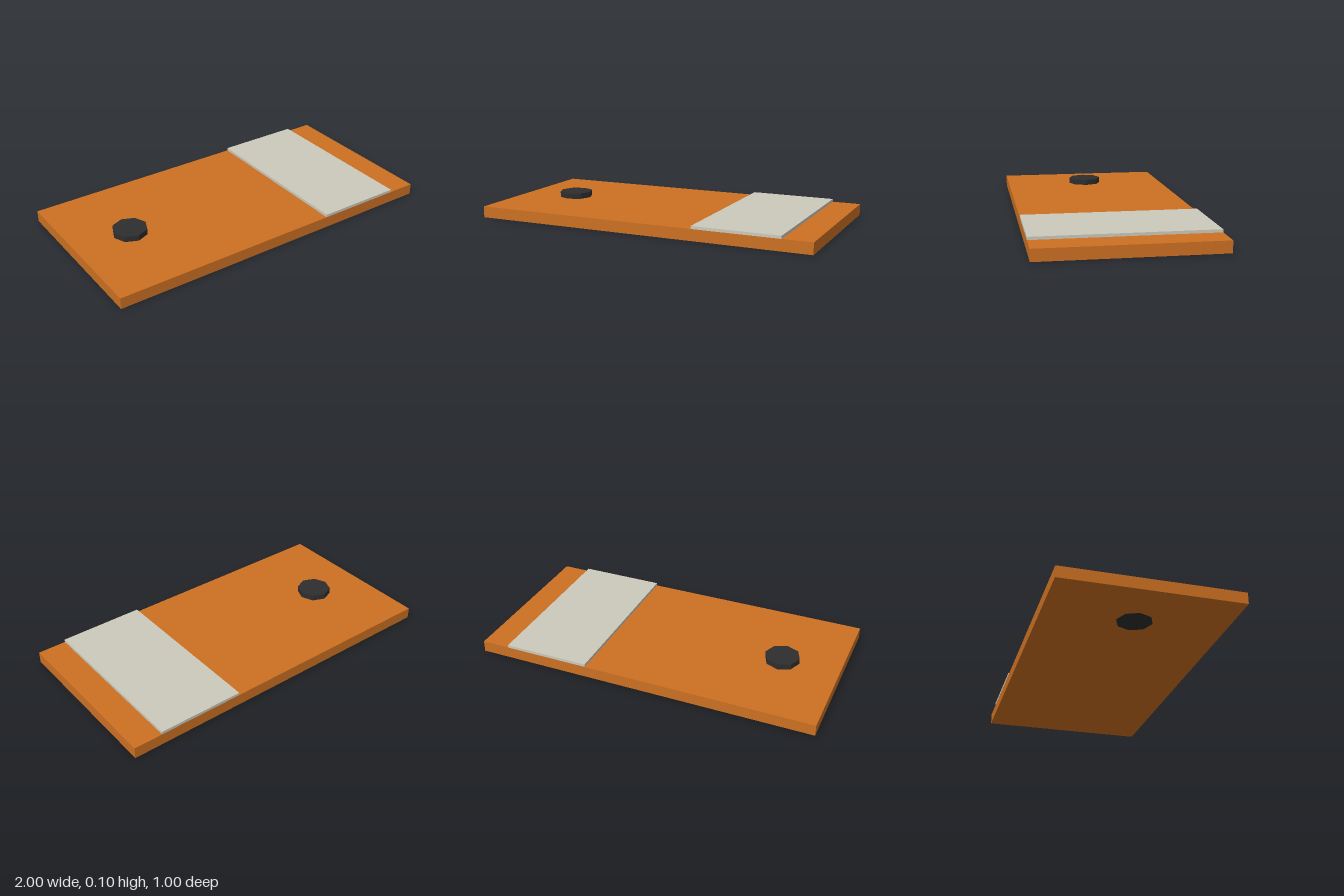
import * as THREE from 'three';

const material = (name, color) => {
  const m = new THREE.MeshStandardMaterial({ color });
  m.name = name;
  m.flatShading = true;
  return m;
};

export function createModel() {
  const group = new THREE.Group();
  group.name = 'slab';
  const orange = material('orange', 0xcc7022);
  const paleGrey = material('paleGrey', 0xccc9bc);
  const charcoal = material('charcoal', 0x2e2e2e);

  // Adds a part spanning the heights from bottom to top
  const add = (name, geometry, mat, x, bottom, top) => {
    const mesh = new THREE.Mesh(geometry, mat);
    mesh.name = name;
    mesh.scale.y = top - bottom;
    mesh.position.set(x, (bottom + top) / 2, 0);
    group.add(mesh);
  };

  // Flat base board
  add('baseBoard', new THREE.BoxGeometry(2, 1, 1), orange, 0, 0.001, 0.0667);
  // Raised band across the board
  add('raisedBand', new THREE.BoxGeometry(0.5, 1, 1), paleGrey, 0.5833, 0.0667, 0.0833);
  // Octagonal knob passing through the board
  add('knob', new THREE.CylinderGeometry(0.1, 0.1, 1, 8), charcoal, -0.6667, 0, 0.1);

  return group;
}
